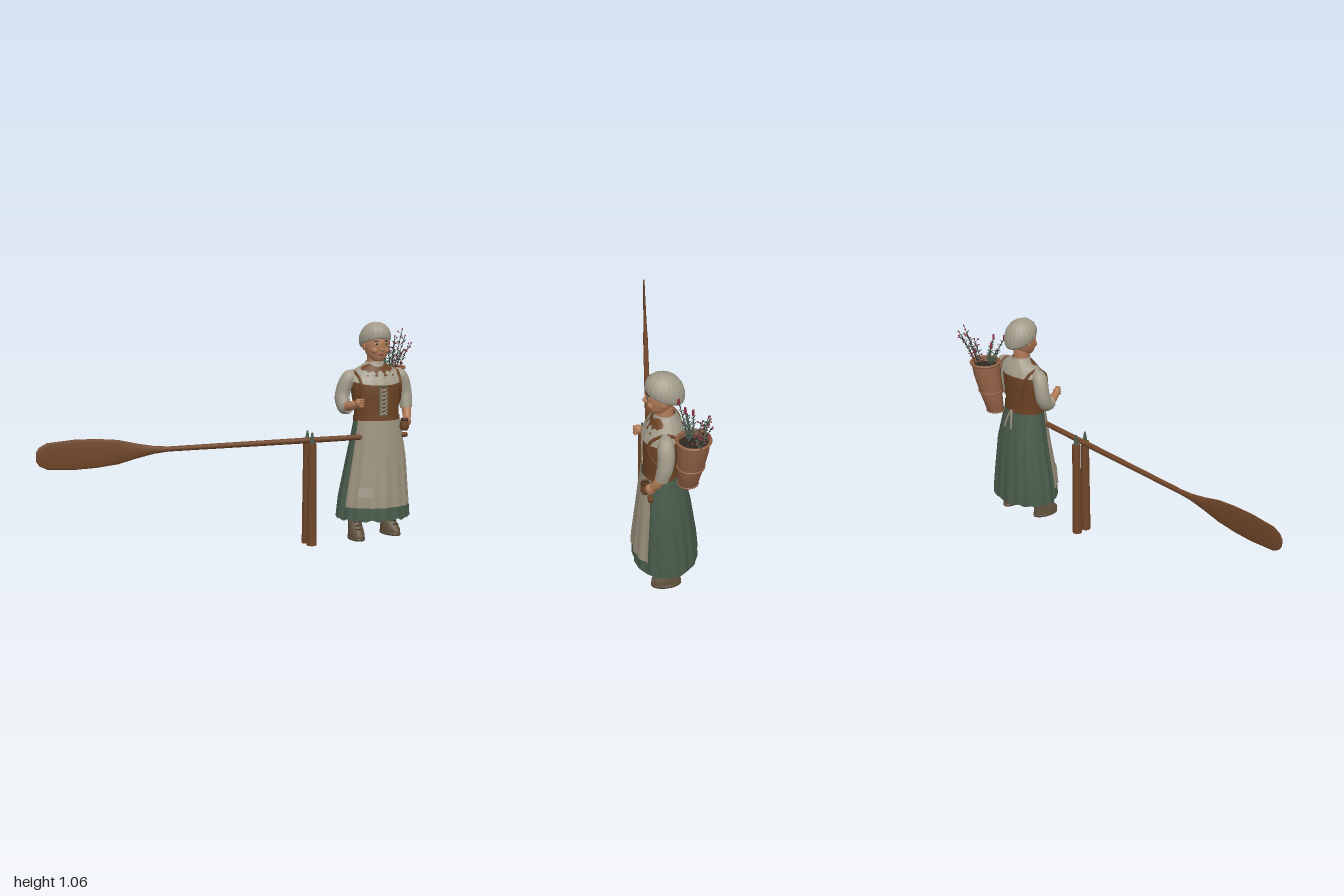
import * as THREE from 'three';
import { mergeGeometries } from 'three/addons/utils/BufferGeometryUtils.js';

const mat = (name, color, side = THREE.FrontSide) => {
  const m = new THREE.MeshStandardMaterial({ color, side });
  m.name = name;
  return m;
};
const M = {
  wood: mat('wood', 0x704629), skin: mat('skin', 0xb07a56),
  linen: mat('linen', 0xa29b8a, THREE.DoubleSide), apron: mat('apronCloth', 0x9b907c, THREE.DoubleSide),
  green: mat('greenCloth', 0x485b4b, THREE.DoubleSide), leather: mat('leather', 0x6c4324, THREE.DoubleSide),
  wicker: mat('wicker', 0x936246, THREE.DoubleSide), boot: mat('bootLeather', 0x62533f, THREE.DoubleSide),
  red: mat('blossomRed', 0x8c3244), dark: mat('dark', 0x2e2923, THREE.DoubleSide),
};
const TAU = Math.PI * 2;
const V = (p) => new THREE.Vector3(...p);

function add(parent, name, geo, material, pos = [0, 0, 0], rot = [0, 0, 0], scale = [1, 1, 1]) {
  const m = new THREE.Mesh(geo, material);
  m.name = name;
  m.position.set(...pos); m.rotation.set(...rot); m.scale.set(...scale);
  parent.add(m);
  return m;
}

// Skin over elliptical rows [y, cx, cz, rx, rz], listed bottom to top; angle 0 is the front
function loft(rows, { n = 32, a0 = 0, a1 = TAU, fold = () => 1, dy = () => 0 } = {}) {
  const closed = a1 - a0 > TAU - 0.001, cols = closed ? n : n + 1, pos = [], idx = [];
  rows.forEach(([y, cx, cz, rx, rz], j) => {
    const t = j / (rows.length - 1);
    for (let i = 0; i < cols; i++) {
      const a = a0 + (a1 - a0) * i / n, f = fold(a, t, y);
      pos.push(cx + Math.sin(a) * rx * f, y + dy(a, t), cz + Math.cos(a) * rz * f);
    }
  });
  for (let j = 0; j < rows.length - 1; j++) for (let i = 0; i < n; i++) {
    const p = j * cols + i, q = j * cols + (i + 1) % cols;
    idx.push(p, q, p + cols, q, q + cols, p + cols);
  }
  const g = new THREE.BufferGeometry();
  g.setAttribute('position', new THREE.Float32BufferAttribute(pos, 3));
  g.setIndex(idx);
  g.computeVertexNormals();
  return g;
}

// Tube whose radius follows a list of values along the path
function limb(points, radii, segs = 20, sides = 14) {
  const curve = new THREE.CatmullRomCurve3(points.map(V));
  const g = new THREE.TubeGeometry(curve, segs, 1, sides), p = g.attributes.position, v = new THREE.Vector3();
  for (let k = 0; k < p.count; k++) {
    const t = Math.floor(k / (sides + 1)) / segs, c = curve.getPointAt(t);
    const u = t * (radii.length - 1), i = Math.min(Math.floor(u), radii.length - 2);
    v.fromBufferAttribute(p, k).sub(c).multiplyScalar(THREE.MathUtils.lerp(radii[i], radii[i + 1], u - i)).add(c);
    p.setXYZ(k, v.x, v.y, v.z);
  }
  g.computeVertexNormals();
  return g;
}
const ball = (r, w = 16, h = 12) => new THREE.SphereGeometry(r, w, h);

// Interpolate rows at a height, grown outward by an offset
function rowAt(rows, y, off = 0) {
  let j = 0;
  while (j < rows.length - 2 && y > rows[j + 1][0]) j++;
  const t = (y - rows[j][0]) / (rows[j + 1][0] - rows[j][0]);
  const r = rows[j].map((v, k) => THREE.MathUtils.lerp(v, rows[j + 1][k], t));
  return [y, r[1], r[2], r[3] + off, r[4] + off];
}
const band = (rows, y0, y1, off, opts, n = 10) =>
  loft(Array.from({ length: n + 1 }, (_, i) => rowAt(rows, y0 + (y1 - y0) * i / n, off)), opts);

const SKIRT = [[0.1, 0, 0.02, 0.186, 0.146], [0.2, 0, 0.022, 0.177, 0.14], [0.4, 0.01, 0.025, 0.149, 0.116],
  [0.52, 0.008, 0.032, 0.127, 0.096], [0.59, 0.006, 0.036, 0.115, 0.082]];
const BODICE = [[0.575, 0.006, 0.036, 0.114, 0.08], [0.63, 0.005, 0.035, 0.114, 0.077], [0.7, 0.004, 0.034, 0.124, 0.08],
  [0.76, 0.002, 0.032, 0.128, 0.08], [0.8, 0, 0.028, 0.122, 0.07], [0.835, 0, 0.022, 0.085, 0.052], [0.86, 0, 0.02, 0.04, 0.04]];
const pleats = (a, t, y) => 1 + (0.6 - y) * (0.05 * Math.cos(17 * a) + 0.025 * Math.cos(9 * a + 1));

function buildOar() {
  const g = new THREE.Group();
  g.name = 'oar';
  // rows run from the handle end to the blade tip
  const rows = [[-0.845, 0, 0, 0.001, 0.001], [-0.843, 0, 0, 0.012, 0.012], [-0.3, 0, 0, 0.014, 0.014], [0.38, 0, 0, 0.012, 0.012],
    [0.45, 0, 0, 0.018, 0.012], [0.53, 0, 0, 0.034, 0.01], [0.62, 0, 0, 0.056, 0.008], [0.72, 0, 0, 0.066, 0.007],
    [0.82, 0, 0, 0.069, 0.006], [0.95, 0, 0, 0.06, 0.005], [0.985, 0, 0, 0.043, 0.005], [0.999, 0, 0, 0.022, 0.004], [1, 0, 0, 0.001, 0.001]];
  add(g, 'shaftAndBlade', loft(rows, { n: 20 }), M.wood, [0, 0.506, 0.085], [0, 0, Math.PI / 2]);
  return g;
}

function buildPosts() {
  const g = new THREE.Group();
  g.name = 'oarPosts';
  for (const z of [0.056, 0.113]) {
    add(g, 'post', new THREE.CylinderGeometry(0.02, 0.024, 0.495, 16), M.wood, [0.327, 0.2475, z]);
    add(g, 'postPin', new THREE.CylinderGeometry(0.004, 0.013, 0.055, 10), M.green, [0.327, 0.52, z]);
  }
  return g;
}

function buildClothes(g) {
  add(g, 'skirt', band(SKIRT, 0.1, 0.59, 0, { n: 120, fold: pleats, dy: (a, t) => (1 - t) * 0.006 * Math.cos(17 * a) }), M.green);
  add(g, 'apron', band(SKIRT, 0.165, 0.585, 0.007, { n: 70, a0: -1.2, a1: 1.02, fold: pleats }), M.apron);
  add(g, 'apronPatch', band(SKIRT, 0.22, 0.265, 0.011, { n: 16, a0: -0.8, a1: -0.38, fold: pleats }), M.linen);
  add(g, 'bodice', loft(BODICE, { n: 40 }), M.leather);
  add(g, 'belt', band(BODICE, 0.58, 0.602, 0.005, { n: 40 }, 2), M.leather);
  // front lacing
  add(g, 'lacingPanel', band(BODICE, 0.605, 0.76, 0.003, { n: 6, a0: -0.2, a1: 0.2 }), M.boot);
  for (let i = 0; i < 7; i++) for (const s of [-1, 1]) {
    const y = 0.62 + i * 0.019, r = rowAt(BODICE, y, 0.005);
    add(g, 'lace', new THREE.BoxGeometry(0.042, 0.004, 0.004), M.linen, [r[1], y, r[2] + r[4]], [0, 0, s * 0.35]);
  }
  // shoulder scarf, lower at the front
  const scarf = [[0.782, 0, 0.03, 0.138, 0.09], [0.8, 0, 0.028, 0.132, 0.083], [0.825, 0, 0.024, 0.108, 0.068],
    [0.845, 0, 0.021, 0.07, 0.052], [0.858, 0, 0.02, 0.047, 0.046], [0.866, 0, 0.02, 0.044, 0.044]];
  add(g, 'scarf', loft(scarf, { n: 64, fold: (a, t) => 1 + (1 - t) * 0.02 * Math.cos(15 * a),
    dy: (a, t) => -(1 - t) * 0.026 * Math.max(0, Math.cos(a)) }), M.linen);
  for (const s of [-1, 1]) {
    add(g, 'shoulderStrap', limb([[s * 0.075, 0.66, -0.048], [s * 0.1, 0.78, -0.04], [s * 0.115, 0.822, 0.015], [s * 0.105, 0.775, 0.088],
      [s * 0.112, 0.7, 0.078], [s * 0.128, 0.66, 0.03]], [0.007, 0.007], 30, 8), M.leather);
  }
  // knotted apron strings at the back
  for (const s of [-1, 1]) add(g, 'apronString', limb([[0, 0.59, -0.052], [s * 0.015, 0.55, -0.068], [s * 0.025, 0.5, -0.08]],
    [0.006, 0.005, 0.004], 10, 6), M.apron);
}

function buildArms(g) {
  // lowered left arm
  add(g, 'leftSleeve', limb([[0.1, 0.815, 0.022], [0.14, 0.785, 0.02], [0.165, 0.71, 0.02], [0.166, 0.632, 0.038]],
    [0.018, 0.036, 0.037, 0.035, 0.034, 0.03]), M.linen);
  add(g, 'leftForearm', limb([[0.166, 0.65, 0.035], [0.162, 0.61, 0.055], [0.15, 0.575, 0.08]], [0.024, 0.022, 0.017]), M.skin);
  add(g, 'leftHand', ball(0.022), M.skin, [0.148, 0.57, 0.085], [0.4, 0, 0], [0.9, 1.15, 1]);
  // raised right arm
  add(g, 'rightSleeve', limb([[-0.1, 0.815, 0.022], [-0.14, 0.785, 0.02], [-0.168, 0.7, 0.014], [-0.166, 0.648, 0.04], [-0.16, 0.655, 0.075]],
    [0.018, 0.036, 0.037, 0.036, 0.037, 0.034, 0.029]), M.linen);
  add(g, 'rightForearm', limb([[-0.162, 0.655, 0.06], [-0.15, 0.665, 0.1], [-0.136, 0.677, 0.13]], [0.024, 0.021, 0.016]), M.skin);
  add(g, 'rightPalm', ball(0.021), M.skin, [-0.135, 0.68, 0.133], [0, 0, 0], [0.9, 1.05, 0.9]);
  for (let i = 0; i < 4; i++) add(g, 'finger', new THREE.CapsuleGeometry(0.0058, 0.018, 4, 8), M.skin,
    [-0.127, 0.664 + i * 0.0105, 0.148], [0, 0.3, Math.PI / 2]);
  // pouch held at the left hip
  const pouch = [[0.528, 0, 0, 0.001, 0.001], [0.53, 0, 0, 0.015, 0.013], [0.545, 0, 0, 0.024, 0.021], [0.57, 0, 0, 0.021, 0.019], [0.583, 0, 0, 0.016, 0.014], [0.59, 0, 0, 0.02, 0.018]];
  add(g, 'pouch', loft(pouch, { n: 20 }), M.leather, [0.123, 0, 0.107]);
  add(g, 'pouchTie', new THREE.TorusGeometry(0.017, 0.003, 6, 18), M.dark, [0.123, 0.581, 0.107], [Math.PI / 2, 0, 0]);
}

function buildHead(g) {
  const h = new THREE.Group();
  h.name = 'head';
  g.add(h);
  add(h, 'neck', new THREE.CylinderGeometry(0.037, 0.041, 0.075, 20), M.skin, [0, 0.87, 0.022]);
  add(h, 'face', loft([[0.868, 0, 0.06, 0.001, 0.001], [0.87, 0, 0.06, 0.02, 0.022], [0.882, 0, 0.05, 0.038, 0.038], [0.905, 0, 0.042, 0.053, 0.052],
    [0.94, 0, 0.036, 0.061, 0.062], [0.98, 0, 0.032, 0.062, 0.065], [1.02, 0, 0.025, 0.045, 0.05]], { n: 28 }), M.skin);
  add(h, 'nose', new THREE.ConeGeometry(0.013, 0.042, 12), M.skin, [0, 0.939, 0.098], [0.35, 0, 0]);
  add(h, 'noseTip', ball(0.01), M.skin, [0, 0.927, 0.105], [0, 0, 0], [1.1, 0.85, 1]);
  add(h, 'mouth', ball(0.012), M.red, [0, 0.903, 0.091], [0, 0, 0], [1.2, 0.35, 0.4]);
  for (const s of [-1, 1]) {
    add(h, 'eye', ball(0.01), M.linen, [s * 0.025, 0.954, 0.09], [0, s * 0.4, 0], [1.1, 0.6, 0.4]);
    add(h, 'pupil', ball(0.005), M.dark, [s * 0.025, 0.954, 0.094], [0, s * 0.4, 0], [1, 1, 0.4]);
    add(h, 'eyebrow', new THREE.CapsuleGeometry(0.003, 0.018, 3, 6), M.dark, [s * 0.026, 0.968, 0.091], [0, s * 0.4, Math.PI / 2 - s * 0.15]);
    add(h, 'cheek', ball(0.017), M.skin, [s * 0.03, 0.922, 0.078]);
    add(h, 'ear', ball(0.015), M.skin, [s * 0.061, 0.938, 0.028], [0, 0, 0], [0.45, 1.2, 0.8]);
  }
  const cap = [[0.952, 0, 0.022, 0.058, 0.068], [0.95, 0, 0.021, 0.068, 0.078], [0.962, 0, 0.02, 0.074, 0.083], [0.99, 0, 0.02, 0.075, 0.083],
    [1.016, 0, 0.02, 0.066, 0.073], [1.038, 0, 0.018, 0.048, 0.054], [1.051, 0, 0.016, 0.024, 0.027], [1.055, 0, 0.015, 0.001, 0.001]];
  add(h, 'cap', loft(cap, { n: 132, fold: (a) => 1 + 0.013 * Math.cos(22 * a), dy: (a, t) => (1 - t) * 0.034 * Math.cos(a) }), M.linen);
}

function buildBoots(g) {
  const boot = [[0.012, 0, 0.018, 0.036, 0.067], [0.03, 0, 0.018, 0.037, 0.067], [0.05, 0, 0.01, 0.035, 0.056], [0.07, 0, -0.002, 0.033, 0.043],
    [0.095, 0, -0.009, 0.034, 0.038], [0.19, 0, -0.009, 0.037, 0.039]];
  const sole = [[0, 0, 0.018, 0.001, 0.001], [0, 0, 0.018, 0.038, 0.069], [0.013, 0, 0.018, 0.038, 0.069], [0.013, 0, 0.018, 0.03, 0.06]];
  for (const [side, x, z, turn] of [['left', 0.097, 0, 0.18], ['right', -0.105, 0.045, -0.12]]) {
    const b = new THREE.Group();
    b.name = side + 'Boot';
    b.position.set(x, 0, z); b.rotation.y = turn;
    g.add(b);
    add(b, 'upper', loft(boot, { n: 24 }), M.boot);
    add(b, 'sole', loft(sole, { n: 24 }), M.boot);
    for (let i = 0; i < 3; i++) add(b, 'bootLace', new THREE.BoxGeometry(0.03, 0.004, 0.006), M.dark, [0, 0.055 + i * 0.016, 0.062 - i * 0.015], [-0.7, 0, 0]);
  }
}

function buildBasket(g) {
  const b = new THREE.Group();
  b.name = 'backBasket';
  g.add(b);
  const rows = [[0.56, 0.1, -0.075, 0.001, 0.001], [0.561, 0.1, -0.075, 0.041, 0.041], [0.67, 0.121, -0.086, 0.056, 0.056], [0.76, 0.136, -0.093, 0.066, 0.066], [0.82, 0.143, -0.096, 0.069, 0.069]];
  add(b, 'staves', loft(rows, { n: 80, fold: (a) => 1 + 0.02 * Math.abs(Math.cos(8 * a)) }), M.wicker);
  add(b, 'basketFilling', new THREE.CircleGeometry(0.066, 24), M.dark, [0.141, 0.795, -0.095], [-Math.PI / 2, 0, 0]);
  for (const [y, r] of [[0.565, 0.003], [0.67, 0.004], [0.818, 0.007]]) {
    const c = rowAt(rows, y);
    add(b, 'hoop', new THREE.TorusGeometry(c[3] + 0.002, r, 8, 40), M.wicker, [c[1], y, c[2]], [Math.PI / 2, 0, 0]);
  }
  // flowers: [tip x, y, z, spike or sprig]
  const stems = [], leaves = [], buds = [];
  const tips = [[0.06, 0.955, -0.035, 1], [0.09, 0.92, -0.095, 1], [0.115, 0.95, -0.06, 1], [0.07, 0.9, -0.07, 1], [0.14, 0.91, -0.05, 1],
    [0.235, 1.0, -0.15, 0], [0.285, 0.93, -0.145, 0], [0.2, 0.965, -0.16, 0], [0.23, 0.9, -0.12, 0], [0.18, 0.94, -0.13, 0], [0.26, 0.965, -0.165, 0]];
  tips.forEach(([x, y, z, spike], k) => {
    const base = V([0.143 + (x - 0.143) * 0.35, 0.79, -0.095 + (z + 0.095) * 0.35]), tip = V([x, y, z]);
    const mid = base.clone().lerp(tip, 0.5).add(V([0, 0.015, 0]));
    const curve = new THREE.CatmullRomCurve3([base, mid, tip]);
    stems.push(new THREE.TubeGeometry(curve, 8, 0.0015, 5));
    const count = spike ? 20 : 11;
    for (let i = 0; i < count; i++) {
      const t = 0.2 + 0.75 * i / count, a = i * 2.4 + k, p = curve.getPointAt(t), len = spike ? 0.024 * (1.1 - t * 0.6) : 0.017;
      const end = p.clone().add(V([Math.cos(a) * len, len * 0.7, Math.sin(a) * len]));
      if (spike || i % 2) leaves.push(new THREE.ConeGeometry(spike ? 0.003 : 0.005, len * 1.4, 4)
        .applyQuaternion(new THREE.Quaternion().setFromUnitVectors(V([0, 1, 0]), end.clone().sub(p).normalize()))
        .translate((p.x + end.x) / 2, (p.y + end.y) / 2, (p.z + end.z) / 2));
      else {
        stems.push(new THREE.TubeGeometry(new THREE.LineCurve3(p, end), 1, 0.001, 4));
        buds.push(ball(0.0042, 6, 5).translate(end.x, end.y, end.z));
      }
    }
    buds.push(spike && k < 3 ? new THREE.CylinderGeometry(0.005, 0.006, 0.028, 8).translate(x, y, z) : ball(0.0045, 6, 5).translate(x, y, z));
  });
  add(b, 'flowerStems', mergeGeometries(stems), M.dark);
  add(b, 'flowerLeaves', mergeGeometries(leaves), M.green);
  add(b, 'blossoms', mergeGeometries(buds), M.red);
}

export function createModel() {
  const model = new THREE.Group(), woman = new THREE.Group();
  model.name = 'womanWithOar';
  woman.name = 'woman';
  woman.position.x = 0.695;
  for (const build of [buildClothes, buildArms, buildHead, buildBoots, buildBasket]) build(woman);
  model.add(buildOar(), buildPosts(), woman);
  return model;
}
